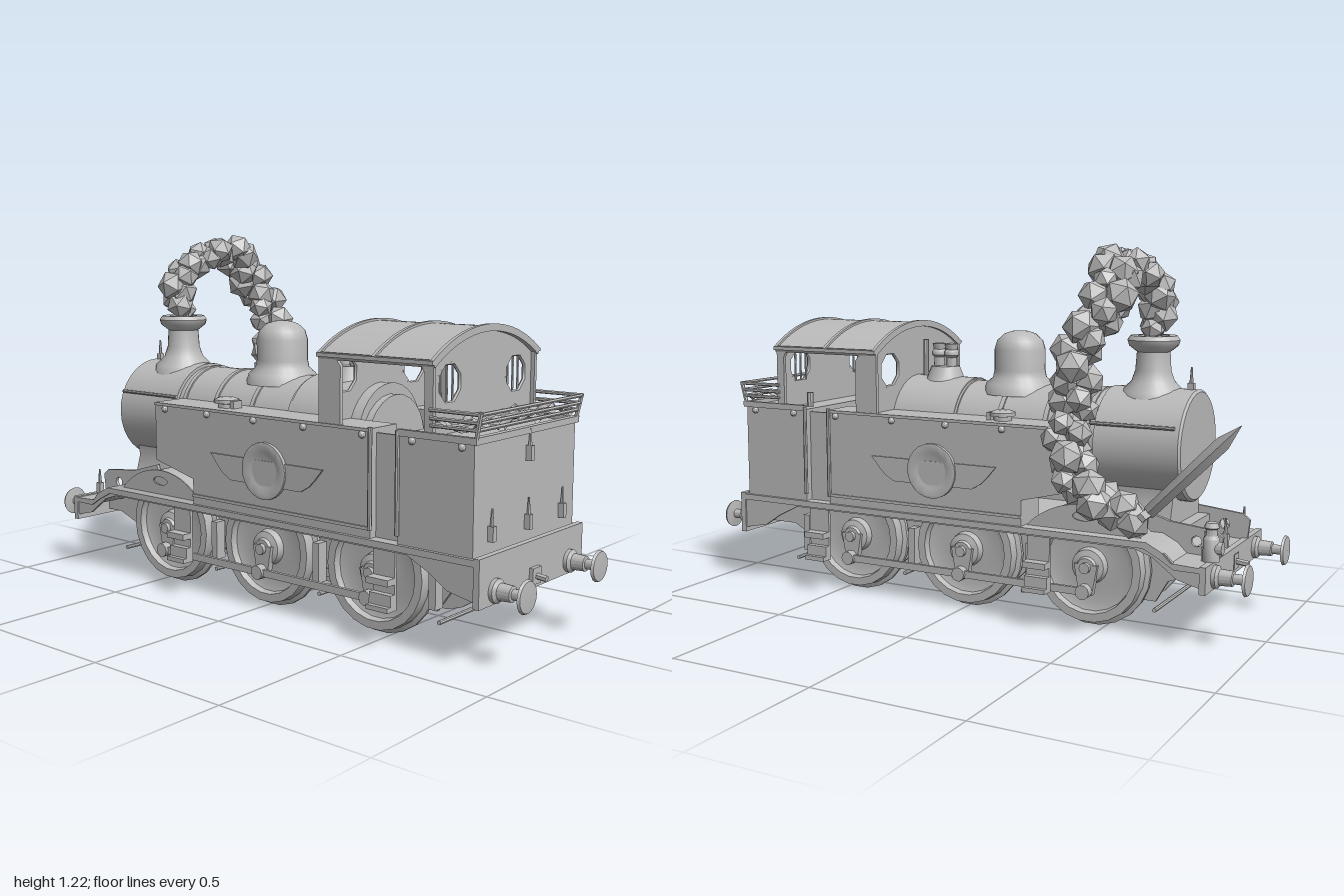
import * as THREE from 'three';
import { toCreasedNormals } from 'three/addons/utils/BufferGeometryUtils.js';

const grey = new THREE.MeshStandardMaterial({ color: 0xbababa, side: THREE.DoubleSide });
grey.name = 'plain grey';
const V = (x, y, z) => new THREE.Vector3(x, y, z);

export function createModel() {
  const root = new THREE.Group();
  root.name = 'tankEngine';
  const loco = new THREE.Group();
  loco.name = 'locomotive';
  loco.position.x = -0.08;
  root.add(loco);

  // ---- helpers ----
  const add = (name, geo, x = 0, y = 0, z = 0, parent = loco) => {
    const m = new THREE.Mesh(toCreasedNormals(geo, 0.7), grey);
    m.name = name;
    m.position.set(x, y, z);
    parent.add(m);
    return m;
  };
  const box = (name, x0, x1, y0, y1, z0, z1) => add(name,
    new THREE.BoxGeometry(Math.abs(x1 - x0), y1 - y0, Math.abs(z1 - z0)),
    (x0 + x1) / 2, (y0 + y1) / 2, (z0 + z1) / 2);
  const rod = (name, a, b, r, n = 8, r2 = r, parent = loco) => {
    const m = add(name, new THREE.CylinderGeometry(r2, r, a.distanceTo(b), n), 0, 0, 0, parent);
    m.position.copy(a).lerp(b, 0.5);
    m.quaternion.setFromUnitVectors(V(0, 1, 0), b.clone().sub(a).normalize());
    return m;
  };
  const lathe = (pts, n = 20) => new THREE.LatheGeometry(pts.map(p => new THREE.Vector2(...p)), n);
  // outline of (z, y) pairs swept across x
  const sideShape = pts => new THREE.Shape(pts.map(([z, y]) => new THREE.Vector2(-z, y)));
  const sweepX = (name, shape, x0, x1) => add(name,
    new THREE.ExtrudeGeometry(shape, { depth: Math.abs(x1 - x0), bevelEnabled: false, curveSegments: 16 })
      .rotateY(Math.PI / 2), Math.min(x0, x1));
  const sweepZ = (name, shape, z0, z1) => add(name,
    new THREE.ExtrudeGeometry(shape, { depth: z1 - z0, bevelEnabled: false, curveSegments: 20 }), 0, 0, z0);
  const sides = fn => [-1, 1].forEach(fn);

  // ---- footplate, beams and frames ----
  sweepX('footplate', sideShape([[0.89, 0.325], [-0.68, 0.325], [-0.73, 0.3], [-0.76, 0.27], [-0.87, 0.265],
    [-0.87, 0.25], [-0.77, 0.25], [-0.72, 0.28], [-0.67, 0.305], [0.89, 0.305]]), -0.295, 0.295);
  box('bunkerBeam', -0.295, 0.295, 0.185, 0.33, 0.87, 0.89);
  box('frontBeam', -0.295, 0.295, 0.185, 0.27, -0.87, -0.85);
  sides(s => {
    sweepX('valance', sideShape([[0.88, 0.32], [-0.68, 0.32], [-0.74, 0.295], [-0.77, 0.265], [-0.86, 0.26],
      [-0.86, 0.2], [-0.78, 0.22], [-0.7, 0.28], [-0.64, 0.3], [0.64, 0.3], [0.72, 0.26], [0.78, 0.22], [0.88, 0.2]]),
    s * 0.28, s * 0.29);
    const frame = sideShape([[0.87, 0.31], [-0.55, 0.31], [-0.58, 0.4], [-0.7, 0.365], [-0.85, 0.35], [-0.875, 0.33],
      [-0.86, 0.2], [-0.78, 0.2], [-0.7, 0.17], [-0.66, 0.1], [-0.3, 0.1], [-0.22, 0.16], [-0.16, 0.1], [0.16, 0.1],
      [0.22, 0.16], [0.3, 0.1], [0.65, 0.1], [0.7, 0.17], [0.76, 0.2], [0.87, 0.2]]);
    frame.holes.push(new THREE.Path().absarc(0.79, 0.31, 0.017, 0, Math.PI * 2));
    sweepX('mainFrame', frame, s * 0.135, s * 0.147);
  });
  for (const z of [0.7, 0.24, -0.22, -0.68]) rod('brakeCrossRod', V(-0.21, 0.09, z), V(0.21, 0.09, z), 0.007);
  box('ashPan', -0.12, 0.12, 0.12, 0.3, 0.12, 0.36);
  box('cylinderBlock', -0.13, 0.13, 0.2, 0.34, -0.74, -0.58);
  for (const z of [0.6, -0.08]) box('frameStay', -0.14, 0.14, 0.17, 0.3, z - 0.01, z + 0.01);

  // ---- wheels and motion ----
  for (const z of [0.455, 0.005, -0.45]) {
    rod('axle', V(-0.17, 0.2, z), V(0.17, 0.2, z), 0.025, 10);
    sides(s => {
      add('wheel', lathe([[0, 0], [0.2, 0], [0.2, 0.012], [0.185, 0.018], [0.182, 0.052], [0.155, 0.052], [0.15, 0.03],
        [0.125, 0.022], [0.06, 0.026], [0.055, 0.05], [0.035, 0.056], [0.03, 0.066], [0, 0.066]], 22)
        .rotateZ(-s * Math.PI / 2), s * 0.155, 0.2, z);
      sweepX('crank', sideShape([[z + 0.04, 0.21], [z - 0.04, 0.21], [z - 0.022, 0.11], [z + 0.022, 0.11]]),
        s * 0.2, s * 0.222);
      rod('crankPin', V(s * 0.21, 0.125, z), V(s * 0.25, 0.125, z), 0.024, 10);
      rod('axleCap', V(s * 0.2, 0.2, z), V(s * 0.235, 0.2, z), 0.018, 10);
      box('brakeBlock', s * 0.16, s * 0.2, 0.12, 0.25, z + 0.2, z + 0.225);
    });
  }
  sides(s => {
    box('couplingRod', s * 0.228, s * 0.24, 0.113, 0.137, -0.45, 0.455);
    for (const z of [0.55, -0.31]) { // steps
      box('stepHanger', s * 0.27, s * 0.28, 0.12, 0.31, z - 0.04, z + 0.04);
      box('lowerStep', s * 0.27, s * 0.315, 0.12, 0.135, z - 0.04, z + 0.04);
      box('upperStep', s * 0.27, s * 0.315, 0.2, 0.22, z - 0.04, z + 0.04);
      box('stepBack', s * 0.28, s * 0.3, 0.135, 0.17, z - 0.04, z + 0.04);
    }
    // front wheel splasher
    const arch = new THREE.Shape().absarc(0.45, 0.14, 0.27, Math.PI * 0.24, Math.PI * 0.76);
    arch.holes.push(new THREE.Path().absellipse(0.45, 0.372, 0.035, 0.014, 0, Math.PI * 2));
    sweepX('splasherFace', arch, s * 0.245, s * 0.25);
    sweepX('splasher', new THREE.Shape().absarc(0.45, 0.14, 0.265, Math.PI * 0.24, Math.PI * 0.76), s * 0.145, s * 0.24);
  });

  // ---- buffers, hooks and lamps ----
  sides(e => {
    const end = e > 0 ? 0.89 : -0.87;
    sides(s => {
      const buffer = lathe([[0, 0], [0.036, 0], [0.036, 0.012], [0.026, 0.02], [0.024, 0.06], [0.016, 0.062],
        [0.016, 0.095], [0.05, 0.1], [0.046, 0.108], [0, 0.112]], 16).rotateX(e * Math.PI / 2);
      add('buffer', buffer, s * 0.212, 0.225, end);
    });
    box('hookPlate', -0.024, 0.024, 0.2, 0.25, end - 0.005, end + 0.008 * Math.sign(e) + 0.005);
    rod('couplingHook', V(0, 0.225, end), V(0, 0.22, end + e * 0.045), 0.01, 6);
  });
  const lampIron = (x, y, z) => {
    box('lampIron', x - 0.009, x + 0.009, y, y + 0.045, z - 0.006, z + 0.014);
    rod('lampIronTip', V(x, y + 0.04, z + 0.004), V(x, y + 0.095, z + 0.004), 0.007, 6, 0.003);
  };
  for (const x of [-0.2, 0, 0.2]) { lampIron(x, 0.36, 0.865); lampIron(x, 0.265, -0.84); }
  lampIron(0, 0.565, 0.865);
  lampIron(0, 0.74, -0.715);
  add('frontLamp', lathe([[0, 0], [0.026, 0], [0.026, 0.07], [0.018, 0.08], [0.018, 0.1], [0.024, 0.105],
    [0.018, 0.12], [0, 0.125]], 12), 0.2, 0.268, -0.855);
  rod('lampLens', V(0.2, 0.31, -0.86), V(0.2, 0.31, -0.892), 0.02, 12);

  // ---- boiler and smokebox ----
  add('boiler', new THREE.CylinderGeometry(0.165, 0.165, 0.84, 32).rotateX(Math.PI / 2), 0, 0.59, -0.06);
  add('firebox', new THREE.CylinderGeometry(0.172, 0.172, 0.24, 32).rotateX(Math.PI / 2), 0, 0.592, 0.19);
  for (const z of [0.07, -0.1, -0.27, -0.42])
    add('boilerBand', new THREE.CylinderGeometry(0.17, 0.17, 0.016, 32).rotateX(Math.PI / 2), 0, 0.59, z);
  add('smokebox', lathe([[0, -0.145], [0.172, -0.145], [0.18, -0.138], [0.18, 0.145], [0, 0.145]], 32)
    .rotateX(Math.PI / 2), 0, 0.585, -0.595);
  const saddle = new THREE.Shape([[-0.14, 0.31], [0.14, 0.31], [0.135, 0.37], [0.12, 0.42], [0.13, 0.48],
    [-0.13, 0.48], [-0.12, 0.42], [-0.135, 0.37]].map(p => new THREE.Vector2(...p)));
  sweepZ('smokeboxSaddle', saddle, -0.7, -0.43);
  add('chimney', lathe([[0.11, 0.72], [0.1, 0.755], [0.07, 0.785], [0.058, 0.82], [0.054, 0.88], [0.08, 0.9],
    [0.085, 0.918], [0.075, 0.932], [0.05, 0.932], [0.045, 0.87], [0, 0.87]], 24), -0.005, 0, -0.58);
  add('steamDome', lathe([[0.125, 0.72], [0.115, 0.755], [0.092, 0.775], [0.087, 0.8], [0.087, 0.87], [0.078, 0.9],
    [0.055, 0.922], [0.028, 0.931], [0, 0.933]], 24), 0, 0, -0.1);
  add('valveBase', new THREE.CylinderGeometry(0.05, 0.07, 0.05, 16), 0, 0.775, 0.195);
  for (const z of [0.17, 0.22]) add('safetyValve', lathe([[0.02, 0.78], [0.018, 0.83], [0.026, 0.838], [0.026, 0.85],
    [0.02, 0.858], [0.024, 0.878], [0, 0.882]], 12), 0, 0, z);
  rod('whistle', V(0, 0.75, 0.275), V(0, 0.89, 0.275), 0.01);
  sides(s => rod('boilerHandrail', V(s * 0.175, 0.66, -0.72), V(s * 0.175, 0.66, -0.44), 0.006));

  // ---- side tanks, plaques and fillers ----
  const wing = sideShape([[0.32, 0.51], [-0.16, 0.51], [-0.13, 0.475], [-0.105, 0.45], [-0.07, 0.43], [0.23, 0.43],
    [0.265, 0.45], [0.29, 0.475]]);
  sides(s => {
    sweepX('sideTank', sideShape([[0.5, 0.32], [-0.25, 0.32], [-0.25, 0.41], [-0.43, 0.455], [-0.43, 0.655],
      [0.5, 0.655]]), s * 0.155, s * 0.283);
    for (const y of [0.35, 0.645]) box('tankBeading', s * 0.28, s * 0.288, y, y + 0.01, y > 0.5 ? -0.43 : -0.25, 0.5);
    for (const z of [0.82, 0.65, 0.47, 0.24, 0.03, -0.18, -0.38])
      add('railKnob', new THREE.IcosahedronGeometry(0.012, 1), s * 0.285, 0.635, z);
    sweepX('wingPlaque', wing, s * 0.28, s * 0.289);
    add('roundPlaque', lathe([[0.092, -0.004], [0.092, 0.012], [0.082, 0.014], [0.06, 0.007], [0.03, 0.003], [0, 0.002]], 24)
      .rotateZ(-s * Math.PI / 2), s * 0.283, 0.478, 0.08);
    add('tankFiller', lathe([[0.03, 0], [0.03, 0.018], [0.042, 0.02], [0.042, 0.032], [0.02, 0.04], [0, 0.041]], 14),
      s * 0.22, 0.65, -0.15);
    box('fillerHinge', s * 0.2, s * 0.24, 0.655, 0.68, -0.115, -0.1);
  });

  // ---- bunker with coal and rails ----
  box('bunker', -0.283, 0.283, 0.32, 0.65, 0.6, 0.86);
  sides(s => {
    box('doorPanel', s * 0.245, s * 0.255, 0.32, 0.64, 0.5, 0.6);
    for (const z of [0.6, 0.5]) rod('doorHandrail', V(s * 0.286, 0.35, z), V(s * 0.286, 0.66, z), 0.007);
    box('bunkerCoping', s * 0.275, s * 0.29, 0.645, 0.665, 0.6, 0.868);
  });
  box('bunkerRearCoping', -0.29, 0.29, 0.645, 0.665, 0.85, 0.87);
  [0.685, 0.706, 0.73].forEach((y, i) => {
    const z = 0.868 + i * 0.006, x = 0.281 + i * 0.002;
    rod('rearRail', V(-x, y, z), V(x, y, z), 0.006, 6);
    sides(s => rod('sideRail', V(s * x, y, 0.71), V(s * x, y, z), 0.006, 6));
  });
  sides(s => rod('railPost', V(s * 0.28, 0.65, 0.862), V(s * 0.285, 0.735, 0.88), 0.007, 6));
  const coal = new THREE.PlaneGeometry(0.55, 0.15, 22, 6).rotateX(-Math.PI / 2);
  const cp = coal.attributes.position;
  for (let i = 0; i < cp.count; i++)
    cp.setY(i, 0.012 * Math.sin(cp.getX(i) * 31 + cp.getZ(i) * 40) + 0.009 * Math.cos(cp.getX(i) * 67 - cp.getZ(i) * 90));
  add('coal', coal, 0, 0.685, 0.785);

  // ---- cab ----
  const R = 0.512, cy = 0.438, half = 0.602;
  const roofShape = (r0, r1) => new THREE.Shape()
    .absarc(0, cy, r1, Math.PI / 2 - half, Math.PI / 2 + half, false)
    .absarc(0, cy, r0, Math.PI / 2 + half, Math.PI / 2 - half, true);
  sweepZ('cabRoof', roofShape(R - 0.015, R), 0.3, 0.725);
  for (const z of [0.3, 0.505, 0.713]) sweepZ('roofRib', roofShape(R - 0.01, R + 0.007), z, z + 0.012);
  for (const z of [0.695, 0.31]) {
    const wall = new THREE.Shape().moveTo(-0.28, 0.33).lineTo(0.28, 0.33)
      .absarc(0, cy, R - 0.01, Math.PI / 2 - 0.58, Math.PI / 2 + 0.58, false);
    sides(s => {
      const hole = new THREE.Path();
      for (let i = 0; i < 8; i++) {
        const a = (i + 0.5) * Math.PI / 4, p = [s * 0.18 + 0.063 * Math.cos(a), 0.795 + 0.063 * Math.sin(a)];
        i ? hole.lineTo(...p) : hole.moveTo(...p);
      }
      wall.holes.push(hole);
      add('windowFrame', new THREE.TorusGeometry(0.063, 0.007, 6, 8).rotateZ(Math.PI / 8), s * 0.18, 0.795, z + 0.006);
      if (z > 0.5) for (const dx of [-0.03, 0, 0.03])
        rod('windowBar', V(s * 0.18 + dx, 0.74, z), V(s * 0.18 + dx, 0.85, z), 0.004, 6);
    });
    sweepZ('cabEndWall', wall, z, z + 0.012);
  }
  sides(s => {
    const cabSide = sideShape([[0.72, 0.64], [0.72, 0.87], [0.3, 0.87], [0.3, 0.64], [0.385, 0.64], [0.385, 0.83],
      [0.37, 0.85], [0.68, 0.85], [0.69, 0.83], [0.69, 0.64]]);
    sweepX('cabSide', cabSide, s * 0.27, s * 0.283);
    box('cabGutter', s * 0.275, s * 0.295, 0.856, 0.868, 0.3, 0.725);
  });
  add('backhead', new THREE.CylinderGeometry(0.15, 0.15, 0.03, 24).rotateX(Math.PI / 2), 0, 0.57, 0.37);
  rod('brakeHandle', V(0.2, 0.6, 0.64), V(0.2, 0.7, 0.64), 0.012);

  // ---- smoke arm holding a sword ----
  const arm = new THREE.Group();
  arm.name = 'smokeArm';
  root.add(arm);
  let seed = 7;
  const rnd = () => (seed = (seed * 16807) % 2147483647) / 2147483647;
  const path = new THREE.CatmullRomCurve3([[-0.09, 0.95, -0.58], [-0.1, 1.03, -0.59], [-0.06, 1.1, -0.58],
    [0.08, 1.165, -0.54], [0.18, 1.125, -0.55], [0.26, 1.02, -0.55], [0.28, 0.9, -0.48], [0.265, 0.78, -0.47],
    [0.28, 0.66, -0.45], [0.3, 0.55, -0.47], [0.3, 0.47, -0.54], [0.28, 0.41, -0.66]].map(p => V(...p)));
  const N = 60;
  for (let i = 0; i <= N; i++) {
    const t = i / N, p = path.getPointAt(t), a = i * 2.4, spread = 0.014 + 0.026 * Math.min(1, t * 4) * (t > 0.95 ? 0.3 : 1);
    const puff = new THREE.IcosahedronGeometry(0.042 + 0.016 * rnd(), 0);
    const m = add('smokePuff', puff, p.x + spread * Math.cos(a), p.y + spread * 0.6 * (rnd() - 0.5),
      p.z + spread * Math.sin(a), arm);
    m.rotation.set(rnd() * 6, rnd() * 6, rnd() * 6);
  }
  const hilt = V(0.285, 0.4, -0.68), tip = V(0.325, 0.72, -1);
  const sword = new THREE.Group();
  sword.name = 'sword';
  sword.position.copy(hilt);
  sword.quaternion.setFromUnitVectors(V(0, 1, 0), tip.clone().sub(hilt).normalize());
  root.add(sword);
  const L = hilt.distanceTo(tip);
  add('blade', lathe([[0, 0.03], [0.02, 0.05], [0.022, L - 0.08], [0, L]], 4).scale(0.5, 1, 1), 0, 0, 0, sword);
  add('guard', new THREE.BoxGeometry(0.09, 0.016, 0.025), 0, 0.045, 0, sword);
  add('grip', new THREE.CylinderGeometry(0.011, 0.011, 0.1, 8), 0, -0.005, 0, sword);
  return root;
}
